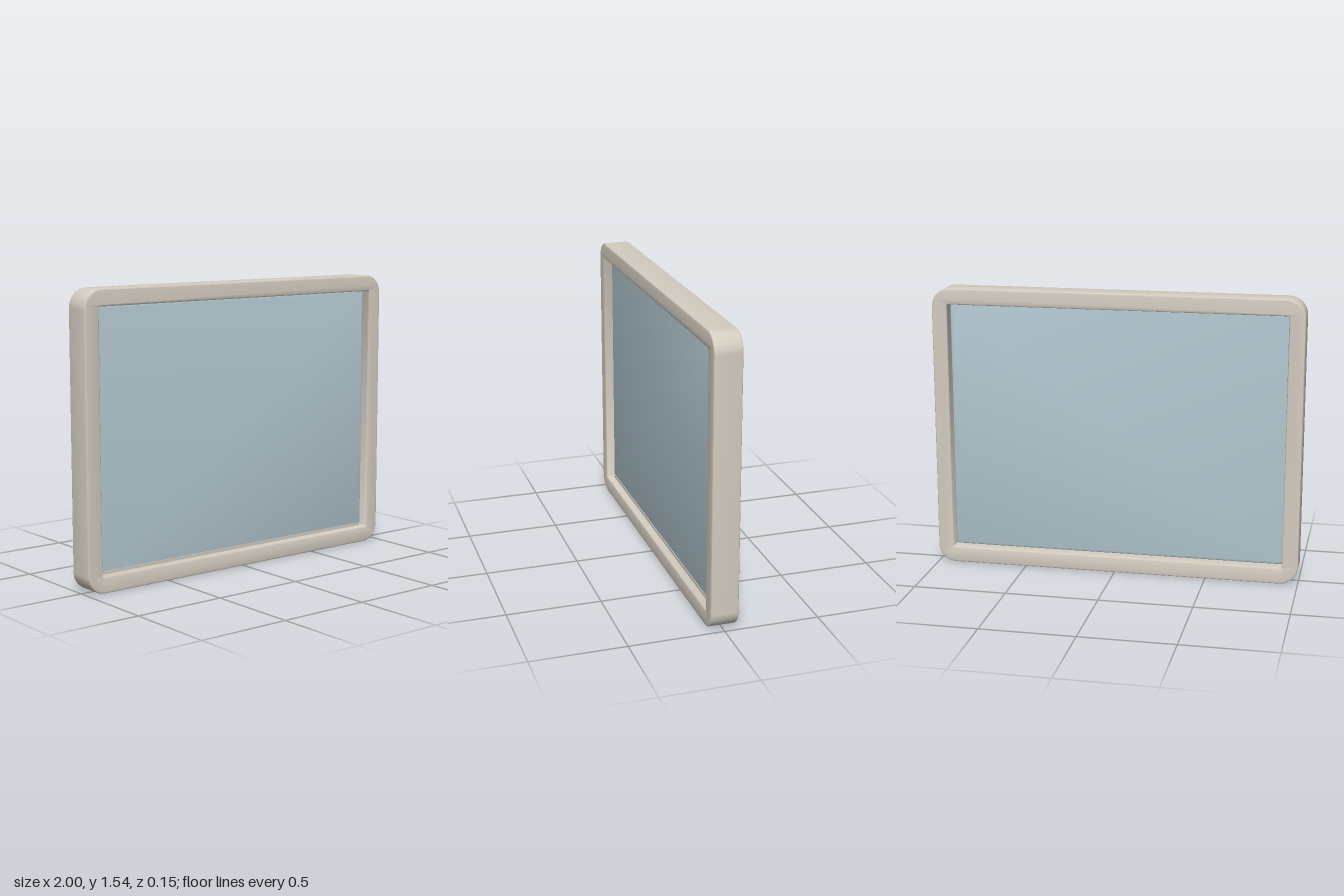
import * as THREE from 'three';
import { toCreasedNormals } from 'three/addons/utils/BufferGeometryUtils.js';

const WIDTH = 2, HEIGHT = 1.54, DEPTH = 0.146;
const OPEN_W = 1.83, OPEN_H = 1.365;

// Rounded rectangle centred on the origin
function roundedRect(path, w, h, r) {
  const x = w / 2, y = h / 2;
  path.moveTo(-x + r, -y);
  path.lineTo(x - r, -y);
  path.absarc(x - r, -y + r, r, -Math.PI / 2, 0);
  path.lineTo(x, y - r);
  path.absarc(x - r, y - r, r, 0, Math.PI / 2);
  path.lineTo(-x + r, y);
  path.absarc(-x + r, y - r, r, Math.PI / 2, Math.PI);
  path.lineTo(-x, -y + r);
  path.absarc(-x + r, -y + r, r, Math.PI, Math.PI * 1.5);
  return path;
}

// Slab with softened edges, centred in z, keeping the outline's full size
function slab(shape, depth, bevel) {
  const geometry = new THREE.ExtrudeGeometry(shape, {
    depth: depth - 2 * bevel, curveSegments: 10,
    bevelEnabled: true, bevelThickness: bevel, bevelSize: bevel, bevelOffset: -bevel, bevelSegments: 3,
  });
  geometry.translate(0, 0, bevel - depth / 2);
  return toCreasedNormals(geometry, 0.6);
}

export function createModel() {
  const model = new THREE.Group();
  model.name = 'windowPane';

  const frameMaterial = new THREE.MeshStandardMaterial({ color: 0xd3ccc0 });
  frameMaterial.name = 'warm grey frame';
  const glassMaterial = new THREE.MeshStandardMaterial({ color: 0xb2c7cf });
  glassMaterial.name = 'pale blue glass';

  const add = (name, geometry, material, y, z) => {
    const mesh = new THREE.Mesh(geometry, material);
    mesh.name = name;
    mesh.position.set(0, y, z);
    model.add(mesh);
  };

  // Surround with rounded outer corners and a rectangular opening
  const outline = roundedRect(new THREE.Shape(), WIDTH, HEIGHT, 0.1);
  outline.holes.push(roundedRect(new THREE.Path(), OPEN_W, OPEN_H, 0.008));
  add('frame', slab(outline, DEPTH, 0.007), frameMaterial, HEIGHT / 2, 0);

  // Recessed pane with a soft edge
  const pane = roundedRect(new THREE.Shape(), OPEN_W, OPEN_H, 0.02);
  add('glass', slab(pane, 0.046, 0.011), glassMaterial, HEIGHT / 2 + 0.002, 0.005);

  // Slim bead holding the pane along the sill
  add('sillBead', new THREE.BoxGeometry(OPEN_W - 0.03, 0.016, 0.012), frameMaterial, 0.096, 0.026);

  return model;
}
